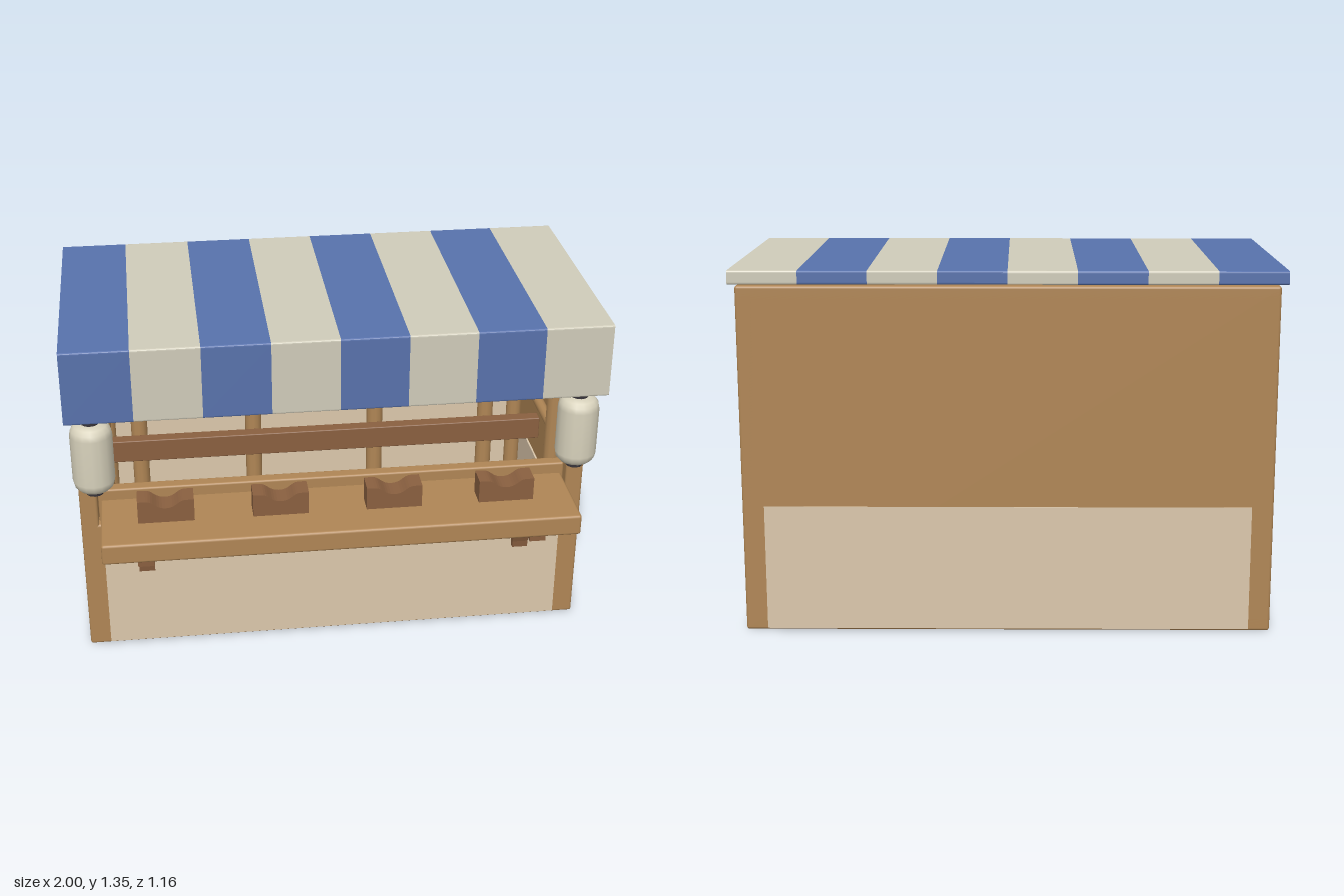
import * as THREE from 'three';
import { RoundedBoxGeometry } from 'three/addons/geometries/RoundedBoxGeometry.js';

const mat = (color) => new THREE.MeshStandardMaterial({ color });

export function createModel() {
  const model = new THREE.Group();
  const wood = mat(0xb08655), panel = mat(0xdcc8ac), dark = mat(0x8a6040);
  const blue = mat(0x5872ac), cream = mat(0xd0ccba), paper = mat(0xd8d2bc), black = mat(0x38343a);

  const add = (name, geometry, material, parent = model) => {
    const mesh = new THREE.Mesh(geometry, material);
    mesh.name = name;
    parent.add(mesh);
    return mesh;
  };
  // Box from its limits, optionally with softened edges
  const box = (name, m, x0, x1, y0, y1, z0, z1, r = 0) => {
    const s = [x1 - x0, y1 - y0, z1 - z0];
    const g = r ? new RoundedBoxGeometry(...s, 2, r) : new THREE.BoxGeometry(...s);
    const mesh = add(name, g, m);
    mesh.position.set((x0 + x1) / 2, (y0 + y1) / 2, (z0 + z1) / 2);
    return mesh;
  };
  const rod = (name, r, length, x, y, z, axis = 'y', m = wood) => {
    const mesh = add(name, new THREE.CylinderGeometry(r, r, length, 12), m);
    mesh.position.set(x, y, z);
    if (axis === 'x') mesh.rotation.z = Math.PI / 2;
    if (axis === 'z') mesh.rotation.x = Math.PI / 2;
    return mesh;
  };

  // Hollow booth
  box('floor', wood, -0.975, 0.975, 0.003, 0.06, -0.575, 0.28, 0.01);
  box('ceiling', wood, -0.975, 0.975, 1.235, 1.295, -0.575, 0.28, 0.01);
  box('backWall', wood, -0.975, 0.975, 0.003, 1.295, -0.575, -0.505, 0.01);
  box('frontWall', wood, -0.975, 0.975, 0.003, 0.55, 0.21, 0.28, 0.01);
  box('header', wood, -0.975, 0.975, 1.2, 1.295, 0.21, 0.28, 0.01);
  for (const s of [-1, 1]) {
    const a = 0.907 * s, b = 0.975 * s;
    box('sideWall', wood, Math.min(a, b), Math.max(a, b), 0.003, 1.295, -0.575, 0.28, 0.01);
  }

  // Pale panels, outside and inside
  const t = 0.002;
  box('frontPanel', panel, -0.895, 0.895, 0.01, 0.48, 0.27, 0.28 + t);
  box('backPanel', panel, -0.895, 0.895, 0.01, 0.48, -0.575 - t, -0.565);
  box('innerBackPanel', panel, -0.9, 0.9, 0.06, 1.2, -0.51, -0.5);
  for (const s of [-1, 1]) {
    const outer = box('sidePanel', panel, -0.006, 0.006, 0.01, 0.48, -0.5, 0.2);
    outer.position.x = s * (0.969 + t);
    const inner = box('innerSidePanel', panel, -0.005, 0.005, 0.06, 0.48, -0.5, 0.2);
    inner.position.x = s * 0.905;
  }

  // Inner frame: corner posts, rails and uprights
  for (const s of [-1, 1]) {
    for (const z of [0.18, -0.46]) rod('cornerPost', 0.032, 1.18, s * 0.87, 0.645, z);
    for (const y of [0.8, 1.03]) rod('sideRail', 0.02, 0.64, s * 0.87, y, -0.14, 'z');
  }
  for (const y of [0.8, 1.03]) rod('backRail', 0.02, 1.74, 0, y, -0.46, 'x');
  for (const x of [-0.74, -0.26, 0.26, 0.74]) {
    rod('upright', 0.034, 1.18, x, 0.645, -0.44);
    for (const y of [0.8, 1.03]) rod('uprightCollar', 0.041, 0.045, x, y, -0.44);
  }
  box('sill', wood, -0.905, 0.905, 0.54, 0.685, 0.2, 0.25, 0.008);

  // Tiered display planks
  box('lowerPlank', dark, -0.85, 0.85, 0.69, 0.78, 0.0, 0.05, 0.004);
  box('upperPlank', dark, -0.84, 0.84, 0.92, 1.0, -0.25, -0.2, 0.004);

  // Counter
  box('counter', wood, -0.895, 0.895, 0.558, 0.64, 0.22, 0.58, 0.01);

  // Curved counter brackets
  const bracket = new THREE.Shape();
  bracket.moveTo(0.27, 0.345);
  bracket.lineTo(0.305, 0.345);
  bracket.bezierCurveTo(0.315, 0.46, 0.42, 0.53, 0.56, 0.53);
  bracket.lineTo(0.56, 0.56);
  bracket.lineTo(0.27, 0.56);
  const bracketGeo = new THREE.ExtrudeGeometry(bracket, { depth: 0.06, bevelEnabled: false, curveSegments: 12 });
  bracketGeo.translate(0, 0, -0.03).rotateY(-Math.PI / 2);
  for (const s of [-1, 1]) add('counterBracket', bracketGeo, dark).position.x = s * 0.735;

  // Four notched rests on the counter
  const rest = new THREE.Shape();
  rest.moveTo(-0.105, 0.638);
  rest.lineTo(0.105, 0.638);
  rest.lineTo(0.105, 0.73);
  rest.lineTo(0.075, 0.73);
  rest.bezierCurveTo(0.045, 0.73, 0.04, 0.699, 0, 0.699);
  rest.bezierCurveTo(-0.04, 0.699, -0.045, 0.73, -0.075, 0.73);
  rest.lineTo(-0.105, 0.73);
  const restGeo = new THREE.ExtrudeGeometry(rest, { depth: 0.085, bevelEnabled: false, curveSegments: 8 });
  for (let i = 0; i < 4; i++) add('rest', restGeo, dark).position.set(-0.652 + i * 0.429, 0, 0.35);

  // Striped awning: an L-shaped section per stripe
  const section = new THREE.Shape();
  const r = 0.008;
  section.moveTo(-0.578 + r, 1.3);
  section.lineTo(0.39, 1.3);
  section.lineTo(0.39, 1.065 + r);
  section.lineTo(0.39 + r, 1.065);
  section.lineTo(0.435 - r, 1.065);
  section.quadraticCurveTo(0.435, 1.065, 0.435, 1.065 + r);
  section.lineTo(0.435, 1.35 - r);
  section.quadraticCurveTo(0.435, 1.35, 0.435 - r, 1.35);
  section.lineTo(-0.578 + r, 1.35);
  section.quadraticCurveTo(-0.578, 1.35, -0.578, 1.35 - r);
  section.lineTo(-0.578, 1.3 + r);
  section.quadraticCurveTo(-0.578, 1.3, -0.578 + r, 1.3);
  const stripeGeo = new THREE.ExtrudeGeometry(section, { depth: 0.25, bevelEnabled: false, curveSegments: 4 });
  stripeGeo.translate(0, 0, -0.125).rotateY(-Math.PI / 2);
  for (let i = 0; i < 8; i++) add('awningStripe', stripeGeo, i % 2 ? cream : blue).position.x = -0.875 + i * 0.25;

  // Hanging lanterns
  const profile = [[0, 0.765], [0.04, 0.765], [0.06, 0.773], [0.073, 0.788], [0.078, 0.81],
    [0.078, 0.995], [0.073, 1.017], [0.06, 1.032], [0.04, 1.04], [0, 1.04]];
  const lanternGeo = new THREE.LatheGeometry(profile.map(([x, y]) => new THREE.Vector2(x, y)), 16);
  for (const s of [-1, 1]) {
    const x = s * 0.908, z = 0.37;
    add('lantern', lanternGeo, paper).position.set(x, 0, z);
    rod('lanternCap', 0.033, 0.02, x, 1.048, z, 'y', black);
    rod('lanternBase', 0.033, 0.02, x, 0.758, z, 'y', black);
    rod('lanternCord', 0.004, 0.25, x, 1.18, z, 'y', black);
  }
  return model;
}
